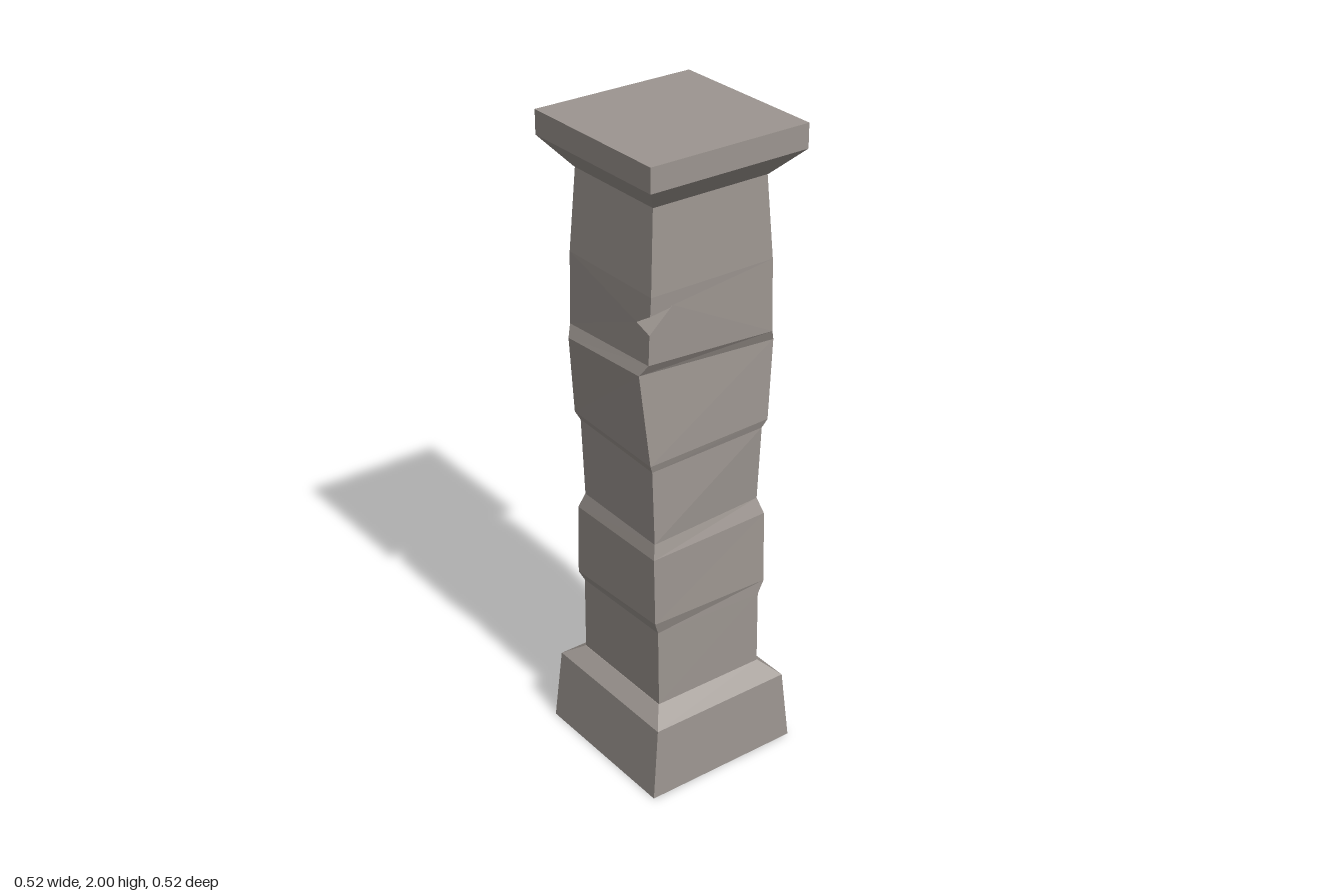
import * as THREE from 'three';

const stone = new THREE.MeshStandardMaterial({ color: 0x9c9590, flatShading: true });

// A ring has two corners, a at (+x, +z) and b at (+x, -z);
// the other two repeat them half a turn round the axis.
const turn = ([x, y, z]) => [-x, y, -z];
const ring = (a, b) => [a, b, turn(a), turn(b)];
const rect = (y, x, z = x) => ring([x, y, z], [x, y, -z]);

function quad(out, a, b, c, d) {
  out.push(...a, ...b, ...c, ...a, ...c, ...d);
}

// Joins stacked rings with four walls; hook may replace the walls of one band
function loft(rings, hook) {
  const out = [];
  for (let r = 0; r < rings.length - 1; r++) {
    const lo = rings[r], hi = rings[r + 1];
    if (hook && hook(out, r, lo, hi)) continue;
    for (let i = 0; i < 4; i++) {
      const j = (i + 1) % 4;
      quad(out, lo[i], lo[j], hi[j], hi[i]);
    }
  }
  quad(out, ...rings[0].slice().reverse());
  quad(out, ...rings[rings.length - 1]);
  return out;
}

function part(name, positions) {
  const geometry = new THREE.BufferGeometry();
  geometry.setAttribute('position', new THREE.Float32BufferAttribute(positions, 3));
  geometry.computeVertexNormals();
  const mesh = new THREE.Mesh(geometry, stone);
  mesh.name = name;
  return mesh;
}

// Wedge-shaped chip in the a corner and its opposite
function chippedBand(out, lo, hi) {
  const upper = [0.185, 1.545, 0.208];
  const lower = [0.184, 1.49, 0.21];
  const frontTip = [0.125, 1.508, 0.209];
  const sideTip = [0.187, 1.56, 0.135];
  for (const spin of [p => p, turn]) {
    const [U, L, F, S] = [upper, lower, frontTip, sideTip].map(spin);
    const k = spin === turn ? 2 : 0;
    const a0 = lo[k], a1 = hi[k], b0 = lo[k + 1], b1 = hi[k + 1];
    const c0 = lo[(k + 3) % 4], c1 = hi[(k + 3) % 4];
    const triangles = [
      // front wall
      [c0, a0, L], [c0, L, F], [c0, F, c1], [c1, F, U], [c1, U, a1],
      // side wall
      [a0, b0, L], [L, b0, S], [S, b0, b1], [S, b1, U], [U, b1, a1],
      // inside of the chip
      [F, S, U], [F, L, S],
    ];
    triangles.forEach(t => out.push(...t.flat()));
  }
}

export function createModel() {
  const group = new THREE.Group();
  group.name = 'stonePillar';

  // Tapered plinth with a bevelled shoulder
  group.add(part('base', loft([rect(0, 0.258), rect(0.23, 0.248, 0.235), rect(0.272, 0.187)])));

  // Rough shaft: tilted ledges step in and out
  const shaftRings = [
    rect(0.272, 0.187, 0.185),
    ring([0.185, 0.525, 0.186], [0.186, 0.513, -0.184]),
    ring([0.2, 0.572, 0.207], [0.185, 0.553, -0.206]),
    ring([0.195, 0.787, 0.207], [0.178, 0.783, -0.206]),
    ring([0.183, 0.83, 0.195], [0.16, 0.832, -0.192]),
    ring([0.173, 1.06, 0.195], [0.175, 1.073, -0.192]),
    ring([0.18, 1.085, 0.206], [0.183, 1.1, -0.206]),
    ring([0.16, 1.365, 0.228], [0.175, 1.345, -0.226]),
    ring([0.182, 1.4, 0.212], [0.189, 1.38, -0.21]),
    rect(1.6, 0.187, 0.206),
    rect(1.847, 0.175, 0.19),
  ];
  const chippedIndex = 8;
  group.add(part('shaft', loft(shaftRings, (out, r, lo, hi) => {
    if (r !== chippedIndex) return false;
    chippedBand(out, lo, hi);
    // remaining two walls are covered by the mirrored chip
    return true;
  })));

  // Flared capital under a square slab
  group.add(part('capital', loft([rect(1.847, 0.177, 0.191), rect(1.928, 0.258), rect(2, 0.258)])));

  return group;
}
